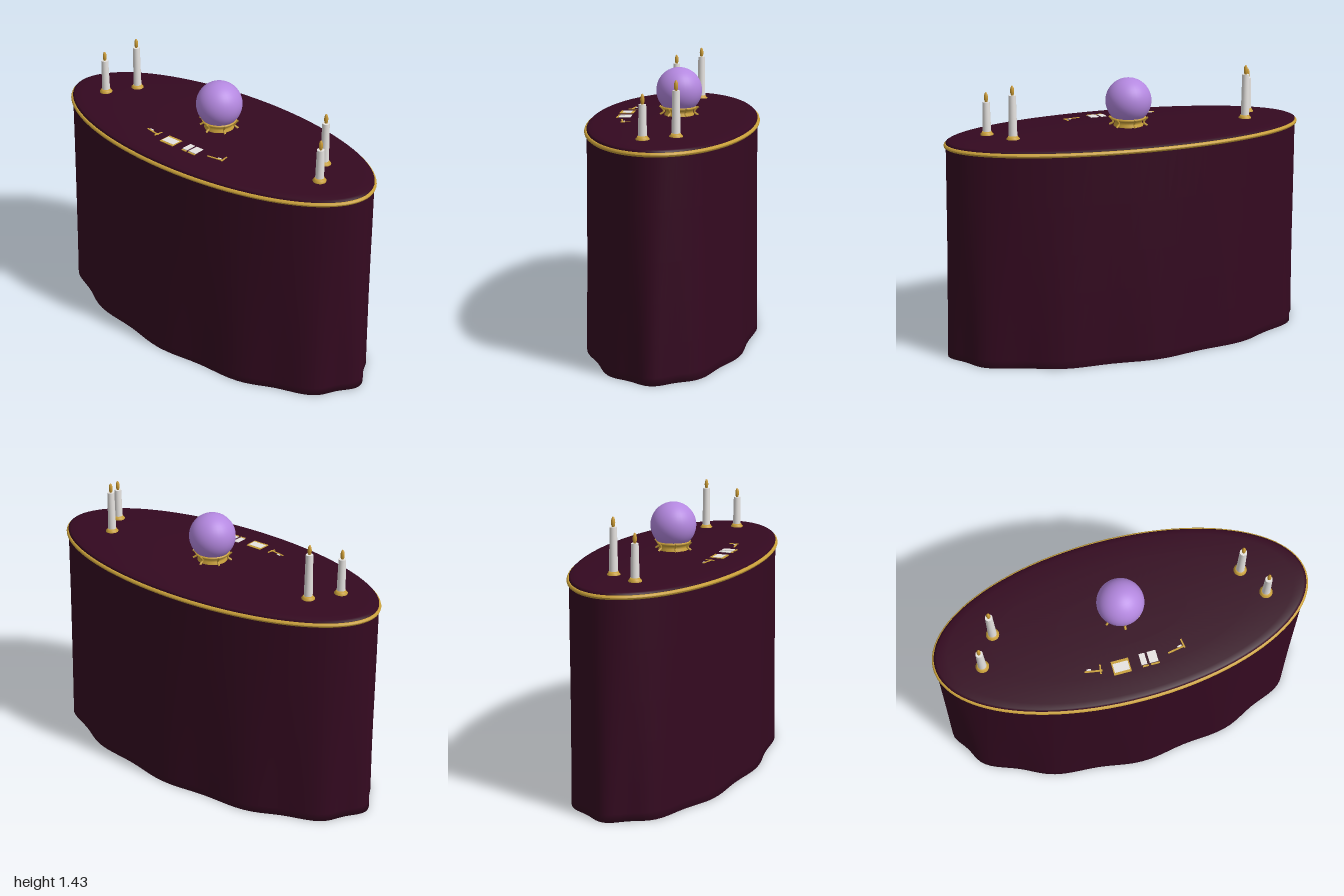
import * as THREE from 'three';

const mat = (name, color, side = THREE.FrontSide) => {
  const m = new THREE.MeshStandardMaterial({ color, side });
  m.name = name;
  return m;
};

const lathe = (pts, seg = 20) =>
  new THREE.LatheGeometry(pts.map(([r, y]) => new THREE.Vector2(r, y)), seg);

// Draped cloth: oval cross-sections from the turned-in hem up the wall, open below
function drapeGeometry() {
  const seg = 120, top = 1.11;
  const rows = [[0.985, 0.02], [1, 0], [1, 0.04], [1, 0.2], [1, 0.4], [1, 0.6], [1, 0.85], [1, top]];
  const pos = [], index = [];
  rows.forEach(([r, y], i) => {
    const loose = 1 - y / top;
    for (let j = 0; j < seg; j++) {
      const a = j / seg * Math.PI * 2;
      const fold = 0.014 * Math.pow(loose, 1.5) * Math.cos(12 * a);
      pos.push(r * Math.cos(a) * (0.97 + 0.016 * loose + fold), y,
        r * Math.sin(a) * (0.435 + 0.005 * loose + 0.7 * fold));
      if (i === rows.length - 1) continue;
      const p = i * seg + j, q = i * seg + (j + 1) % seg;
      index.push(p, p + seg, q, q, p + seg, q + seg);
    }
  });
  const geo = new THREE.BufferGeometry();
  geo.setAttribute('position', new THREE.Float32BufferAttribute(pos, 3));
  geo.setIndex(index);
  geo.computeVertexNormals();
  return geo;
}

export function createModel() {
  const cloth = mat('plum cloth', 0x340920, THREE.DoubleSide);
  const gold = mat('gold', 0xc9a03a);
  const wax = mat('wax white', 0xe6e3e0);
  const crystal = mat('violet crystal', 0xb488e0);
  const amber = mat('flame amber', 0xcc9c35);

  const root = new THREE.Group();
  root.name = 'fortuneTable';
  const add = (parent, name, geo, material, x = 0, y = 0, z = 0) => {
    const m = new THREE.Mesh(geo, material);
    m.name = name;
    m.position.set(x, y, z);
    parent.add(m);
    return m;
  };
  const addGroup = (name, x, z) => {
    const g = new THREE.Group();
    g.name = name;
    g.position.set(x, 0, z);
    root.add(g);
    return g;
  };

  add(root, 'tablecloth', drapeGeometry(), cloth);

  // Solid body hidden behind the cloth, its base just above the hem
  const body = lathe([[0, 0.08], [1, 0.08], [1, 0.4]], 64);
  body.scale(0.957, 1, 0.422);
  add(root, 'tableBody', body, cloth);

  // Slightly domed oval top with a bevelled rim
  const domed = lathe([[1, 1.11], [1, 1.129], [0.985, 1.135], [0.93, 1.141],
    [0.7, 1.147], [0.35, 1.151], [0, 1.151]], 96);
  domed.scale(0.97, 1, 0.435);
  add(root, 'tableTop', domed, cloth);

  // Gold cord: a ring pushed out into an oval, keeping its round section
  const cord = new THREE.TorusGeometry(0.437, 0.011, 10, 96);
  cord.rotateX(Math.PI / 2);
  const p = cord.attributes.position;
  for (let i = 0; i < p.count; i++) {
    const x = p.getX(i);
    p.setX(i, x + 0.533 * x / Math.hypot(x, p.getZ(i)));
  }
  cord.computeVertexNormals();
  add(root, 'edgeTrim', cord, gold, 0, 1.113, 0);

  // Crystal ball on a pronged stand
  const ball = addGroup('crystalBall', 0, -0.027);
  add(ball, 'orb', new THREE.SphereGeometry(0.12, 32, 24), crystal, 0, 1.282, 0);
  add(ball, 'stand', lathe([[0.078, 1.145], [0.078, 1.157], [0.072, 1.164], [0.072, 1.178],
    [0.086, 1.184], [0.092, 1.196], [0.07, 1.198]], 32), gold);
  for (let i = 0; i < 6; i++) {
    const a = i * Math.PI / 3 + Math.PI / 6;
    const at = (r, y) => new THREE.Vector3(r * Math.cos(a), y, r * Math.sin(a));
    const path = new THREE.CatmullRomCurve3(
      [at(0.1, 1.152), at(0.08, 1.168), at(0.088, 1.185), at(0.103, 1.197)]);
    add(ball, 'standProng', new THREE.TubeGeometry(path, 8, 0.006, 6), gold);
  }

  // Candles: x, z, height of the wax top
  const candles = [[-0.74, 0.068, 1.33], [-0.65, -0.083, 1.382],
    [0.65, -0.083, 1.37], [0.74, 0.068, 1.315]];
  for (const [x, z, h] of candles) {
    const c = addGroup('candle', x, z);
    add(c, 'candleHolder', lathe([[0.033, 1.141], [0.034, 1.15], [0.027, 1.156],
      [0.024, 1.164], [0, 1.164]]), gold);
    add(c, 'candleWax', new THREE.CylinderGeometry(0.0185, 0.022, h - 1.155, 20), wax,
      0, (h + 1.155) / 2, 0);
    add(c, 'flame', lathe([[0.005, 0], [0.009, 0.01], [0.0105, 0.024],
      [0.009, 0.038], [0.005, 0.049], [0, 0.053]], 12), amber, 0, h - 0.002, 0);
  }

  // Cards sunk partly into the cloth, so only portions stay visible
  const plate = (name, material, x, z, w, d, y, turn = 0) => {
    add(root, name, new THREE.BoxGeometry(w, 0.004, d), material, x, y, z).rotation.y = turn;
  };
  plate('cardBorder', gold, -0.075, 0.256, 0.09, 0.074, 1.149);
  plate('cardFace', wax, -0.075, 0.257, 0.078, 0.048, 1.15);
  for (const [x, w] of [[0.04, 0.03], [0.09, 0.045]]) {
    plate('cardFace', wax, x, 0.247, w, 0.06, 1.15);
    plate('cardBorder', gold, x + 0.004, 0.285, w, 0.009, 1.149);
  }
  for (const s of [-1, 1]) {
    plate('cardSliver', gold, s * 0.215, 0.243, 0.09, 0.009, 1.149, s * 0.17);
    plate('cardFleck', wax, s * 0.235, 0.23, 0.022, 0.008, 1.149, s * 0.17);
  }
  plate('cardEdge', gold, -0.178, 0.242, 0.008, 0.05, 1.149, -0.15);
  plate('cardEdge', gold, 0.255, 0.22, 0.008, 0.05, 1.149, 0.15);
  return root;
}
